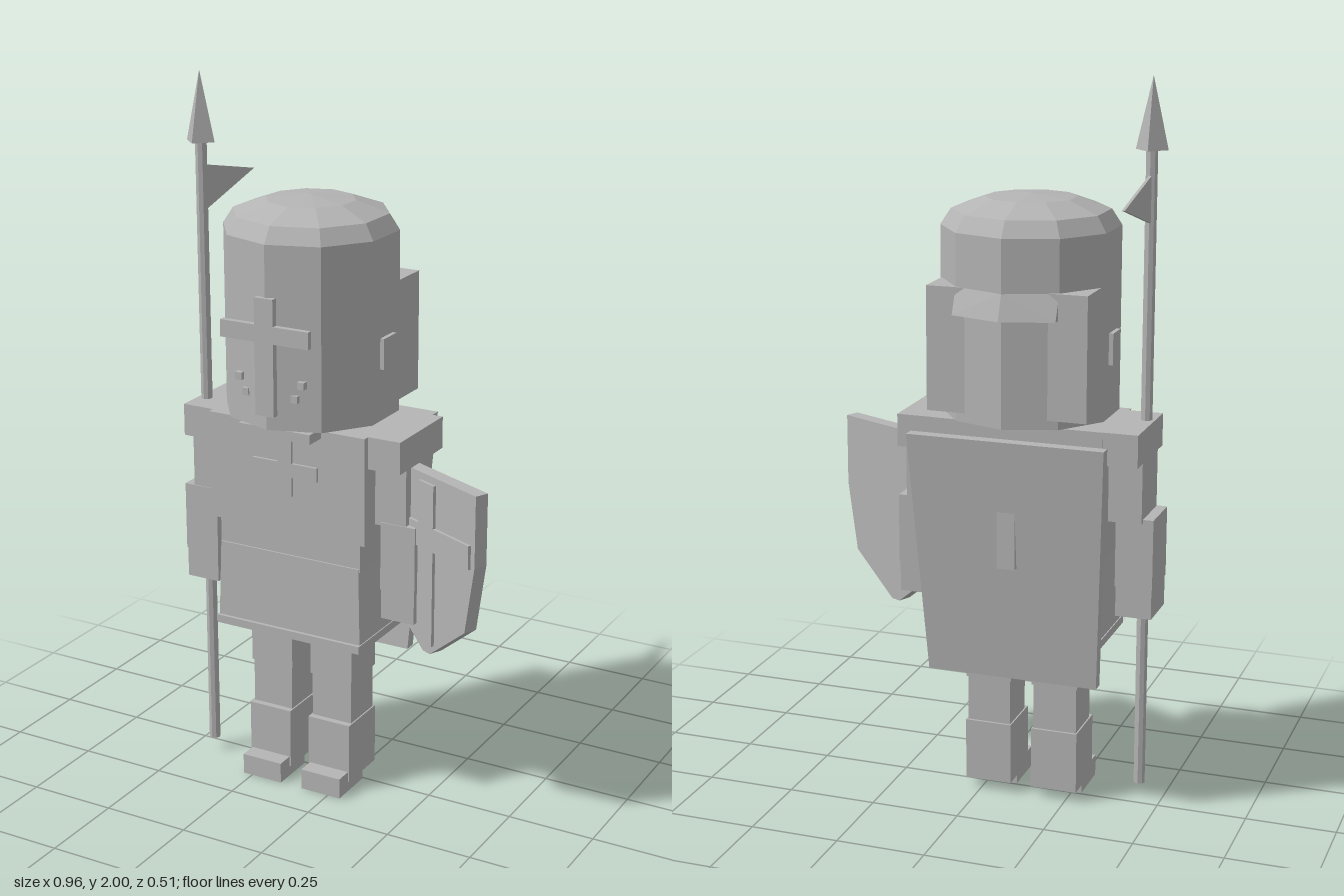
import * as THREE from 'three';
import { ConvexGeometry } from 'three/addons/geometries/ConvexGeometry.js';

const CX = -0.12; // centre line of the figure

export function createModel() {
  const root = new THREE.Group();
  root.name = 'knight';
  const stone = new THREE.MeshStandardMaterial({ color: 0xb4b4b4, flatShading: true });
  stone.name = 'plainGrey';

  const add = (name, geo, parent = root) => {
    const m = new THREE.Mesh(geo, stone);
    m.name = name;
    parent.add(m);
    return m;
  };
  const group = (name) => {
    const g = new THREE.Group();
    g.name = name;
    root.add(g);
    return g;
  };
  // box given by its bounds
  const box = (name, x0, x1, y0, y1, z0, z1, parent = root) => {
    const g = new THREE.BoxGeometry(x1 - x0, y1 - y0, z1 - z0);
    g.translate((x0 + x1) / 2, (y0 + y1) / 2, (z0 + z1) / 2);
    return add(name, g, parent);
  };
  // box centred on the body, given by half width
  const mid = (name, hw, y0, y1, z0, z1, parent = root) => box(name, CX - hw, CX + hw, y0, y1, z0, z1, parent);
  // pair of boxes, at distances d0..d1 from the centre line
  const pair = (name, d0, d1, y0, y1, z0, z1, parent = root) => {
    box('left' + name, CX + d0, CX + d1, y0, y1, z0, z1, parent);
    box('right' + name, CX - d1, CX - d0, y0, y1, z0, z1, parent);
  };
  // slab whose half width and z bounds differ between top and bottom: [hw, z0, z1]
  const taper = (name, y0, y1, bottom, top) => {
    const g = new THREE.BoxGeometry(2, 2, 2);
    const p = g.attributes.position;
    for (let i = 0; i < p.count; i++) {
      const [hw, z0, z1] = p.getY(i) < 0 ? bottom : top;
      p.setXYZ(i, CX + p.getX(i) * hw, p.getY(i) < 0 ? y0 : y1, p.getZ(i) < 0 ? z0 : z1);
    }
    g.computeVertexNormals();
    return add(name, g);
  };

  // Helmet: ten-sided drum with a shallow dome
  const helmet = group('helmet');
  const profile = [[0, 1.105], [0.24, 1.105], [0.24, 1.605], [0.212, 1.648], [0.122, 1.68], [0, 1.69]];
  const drum = add('helmetShell', new THREE.LatheGeometry(profile.map(([r, y]) => new THREE.Vector2(r, y)), 10), helmet);
  drum.position.set(CX, 0, 0.006);
  pair('EarPlate', 0.2, 0.24, 1.25, 1.335, -0.03, 0.04, helmet);
  mid('helmetBackBlock', 0.22, 1.13, 1.465, -0.197, -0.08, helmet);

  // flared brim across the two rear sides
  const brim = [];
  for (const [x, zIn, zOut] of [[-0.141, -0.188, -0.218], [0, -0.233, -0.26], [0.141, -0.188, -0.218]]) {
    for (const [y, z] of [[1.465, zIn], [1.395, zOut], [1.395, zIn]]) brim.push(new THREE.Vector3(CX + x, y, z));
  }
  add('rearBrim', new ConvexGeometry(brim), helmet);

  // face cross and breathing studs
  mid('faceCrossUpright', 0.028, 1.145, 1.465, 0.235, 0.255, helmet);
  mid('faceCrossBar', 0.133, 1.345, 1.392, 0.238, 0.255, helmet);
  for (const [d, y] of [[0.065, 1.185], [0.085, 1.225]]) {
    pair('BreathStud', d, d + 0.02, y, y + 0.02, 0.19, 0.23, helmet);
  }

  // Neck, collar and torso
  const neck = add('neck', new THREE.CylinderGeometry(0.1, 0.1, 0.07, 10));
  neck.position.set(CX, 1.085, 0.005);
  mid('collarPlate', 0.11, 1.07, 1.097, 0.1, 0.21);
  mid('chest', 0.242, 0.785, 1.09, -0.12, 0.15);
  mid('chestCrossUpright', 0.022, 0.89, 1.065, 0.149, 0.158);
  mid('chestCrossBar', 0.1, 0.945, 0.985, 0.149, 0.158);
  mid('waist', 0.22, 0.7, 0.79, -0.11, 0.135);
  taper('skirt', 0.49, 0.71, [0.225, -0.11, 0.145], [0.218, -0.11, 0.14]);
  mid('skirtHem', 0.228, 0.467, 0.49, -0.115, 0.155);

  // Arms
  const arms = group('arms');
  pair('ShoulderPad', 0.2, 0.337, 1.0, 1.09, -0.118, 0.13, arms);
  pair('UpperArm', 0.24, 0.335, 0.83, 1.0, -0.06, 0.09, arms);
  pair('Forearm', 0.26, 0.364, 0.645, 0.84, -0.047, 0.093, arms);
  pair('Hand', 0.262, 0.362, 0.56, 0.645, -0.045, 0.091, arms);

  // Legs
  const legs = group('legs');
  pair('Thigh', 0.03, 0.162, 0.335, 0.48, -0.06, 0.076, legs);
  pair('Knee', 0.034, 0.158, 0.19, 0.335, -0.055, 0.072, legs);
  pair('Shin', 0.03, 0.162, 0.03, 0.205, -0.062, 0.09, legs);
  pair('Foot', 0.034, 0.158, 0, 0.06, 0.005, 0.14, legs);

  // Cape with its rear clasp
  taper('cape', 0.38, 1.065, [0.24, -0.143, -0.11], [0.273, -0.216, -0.182]);
  mid('capeClasp', 0.025, 0.71, 0.87, -0.195, -0.15);

  // Shield, turned on the left arm
  const shield = group('shield');
  shield.position.set(0.283, 0, 0.094);
  shield.rotation.y = -0.435;
  const half = [[0.196, 1.0], [0.196, 0.8], [0.16, 0.605], [0.015, 0.49]];
  const outline = [...half, ...half.map(([x, y]) => [-x, y]).reverse()].reverse();
  const plate = new THREE.ExtrudeGeometry(
    new THREE.Shape(outline.map(([x, y]) => new THREE.Vector2(x, y))), { depth: 0.04, bevelEnabled: false });
  plate.translate(0, 0, -0.04);
  add('shieldPlate', plate, shield);
  box('shieldCrossUpright', -0.032, 0.032, 0.52, 0.98, -0.005, 0.009, shield);
  box('shieldCrossBar', -0.16, 0.18, 0.793, 0.86, -0.005, 0.009, shield);

  // Spear with pennant
  const spear = group('spear');
  spear.position.set(-0.433, 0, 0.05);
  add('spearShaft', new THREE.CylinderGeometry(0.016, 0.016, 1.78, 8), spear).position.y = 0.93;
  add('spearHead', new THREE.ConeGeometry(0.044, 0.19, 4), spear).position.y = 1.905;
  const cloth = new THREE.ExtrudeGeometry(
    new THREE.Shape([[0.01, 1.745], [0.01, 1.62], [0.262, 1.69]].map(([x, y]) => new THREE.Vector2(x, y))),
    { depth: 0.008, bevelEnabled: false });
  cloth.translate(0, 0, -0.004).rotateY(Math.PI / 2);
  add('pennant', cloth, spear);

  return root;
}
